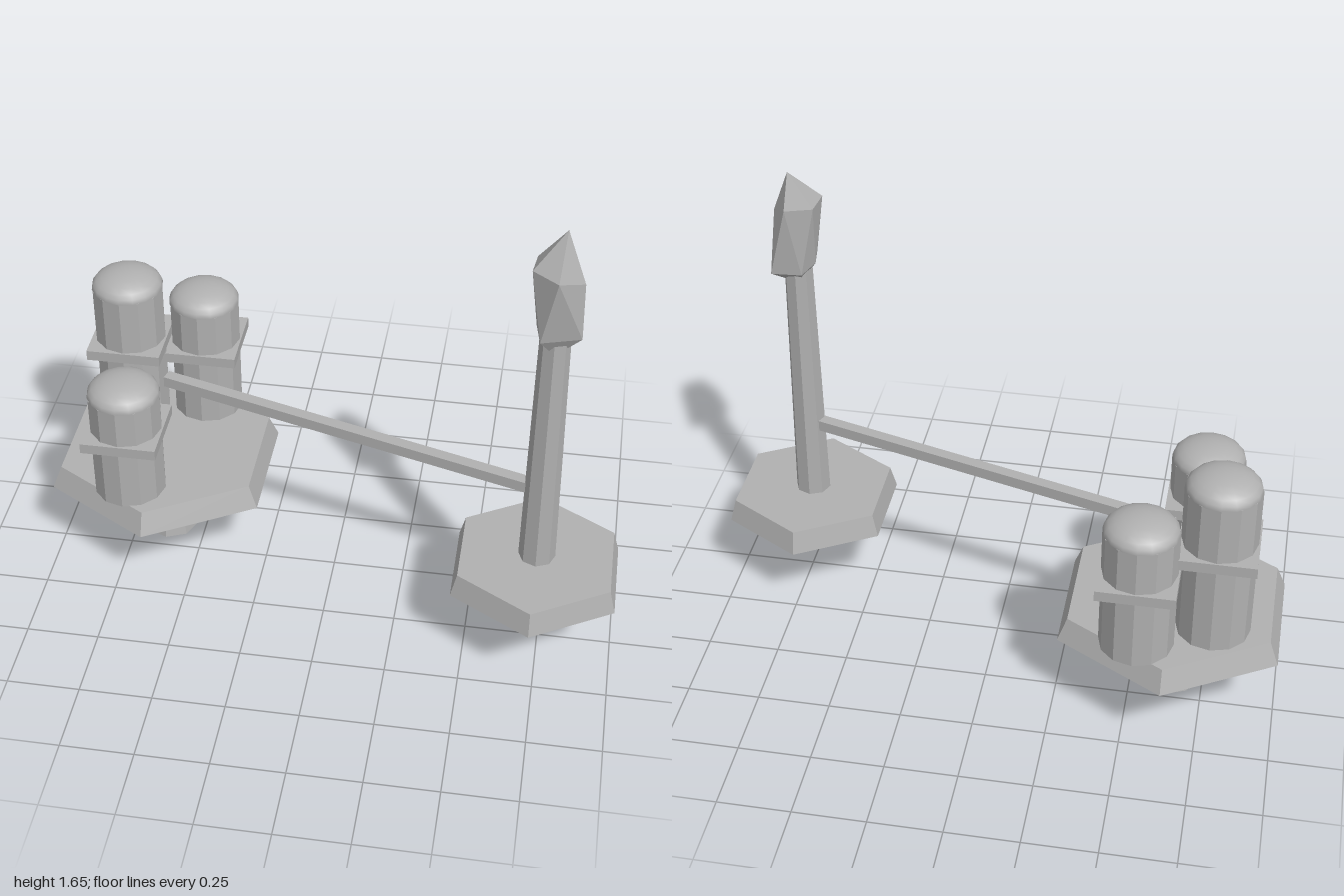
import * as THREE from 'three';
import { ConvexGeometry } from 'three/addons/geometries/ConvexGeometry.js';

const grey = new THREE.MeshStandardMaterial({ color: 0xb0b0b0 });
grey.name = 'plain grey';

function add(parent, name, geometry, x = 0, y = 0, z = 0) {
  const mesh = new THREE.Mesh(geometry, grey);
  mesh.name = name;
  mesh.position.set(x, y, z);
  parent.add(mesh);
  return mesh;
}

// Faceted tapered prism standing between y0 and y1
function prism(parent, name, rTop, rBottom, y0, y1, sides, x, z) {
  const g = new THREE.CylinderGeometry(rTop, rBottom, y1 - y0, sides).toNonIndexed();
  g.computeVertexNormals();
  return add(parent, name, g, x, (y0 + y1) / 2, z);
}

// Round tank with a shallow dome and a square collar
function tank(parent, x, z, top, collarY) {
  const group = new THREE.Group();
  group.name = 'tank';
  const r = 0.125, domeHeight = 0.0625;
  prism(group, 'tankBody', r, r, 0.37, top - domeHeight, 12, x, z);
  const dome = new THREE.SphereGeometry(r, 16, 6, 0, Math.PI * 2, 0, Math.PI / 2);
  dome.scale(1, domeHeight / r, 1);
  add(group, 'tankDome', dome, x, top - domeHeight, z);
  add(group, 'tankCollar', new THREE.BoxGeometry(0.26, 0.038, 0.26), x, collarY, z);
  parent.add(group);
}

export function createModel() {
  const model = new THREE.Group();
  model.name = 'twinPlatforms';

  // Tank platform on its stem
  const [ax, az] = [-0.632, -0.138];
  prism(model, 'stem', 0.055, 0.099, 0, 0.29, 8, ax, az);
  prism(model, 'tankPlatform', 0.39, 0.425, 0.29, 0.372, 6, ax, az);
  tank(model, -0.775, -0.283, 1.005, 0.717);
  tank(model, -0.532, -0.4, 0.89, 0.65);
  tank(model, -0.705, 0.104, 0.835, 0.617);

  // Tower platform and pillar
  const [bx, bz] = [0.726, 0.248];
  prism(model, 'towerPlatform', 0.292, 0.315, 0.29, 0.372, 6, bx, bz);
  prism(model, 'pillar', 0.049, 0.062, 0.37, 1.29, 8, bx, bz);

  // Crystal: tip, upper ring, lower ring, base
  const points = [
    [0.738, 1.652, 0.23],
    [0.725, 1.54, 0.358], [0.803, 1.49, 0.268], [0.745, 1.53, 0.184], [0.652, 1.535, 0.205], [0.642, 1.54, 0.295],
    [0.808, 1.295, 0.28], [0.806, 1.285, 0.19], [0.70, 1.29, 0.188], [0.665, 1.31, 0.245], [0.682, 1.305, 0.333],
    [0.728, 1.215, 0.265],
  ].map((p) => new THREE.Vector3(...p));
  add(model, 'crystal', new ConvexGeometry(points));

  // Beam joining the two platforms
  const dx = bx + 0.617, dz = bz + 0.138;
  const beam = add(model, 'beam', new THREE.BoxGeometry(Math.hypot(dx, dz), 0.04, 0.04), (bx - 0.617) / 2, 0.66, (bz - 0.138) / 2);
  beam.rotation.y = -Math.atan2(dz, dx);

  return model;
}
